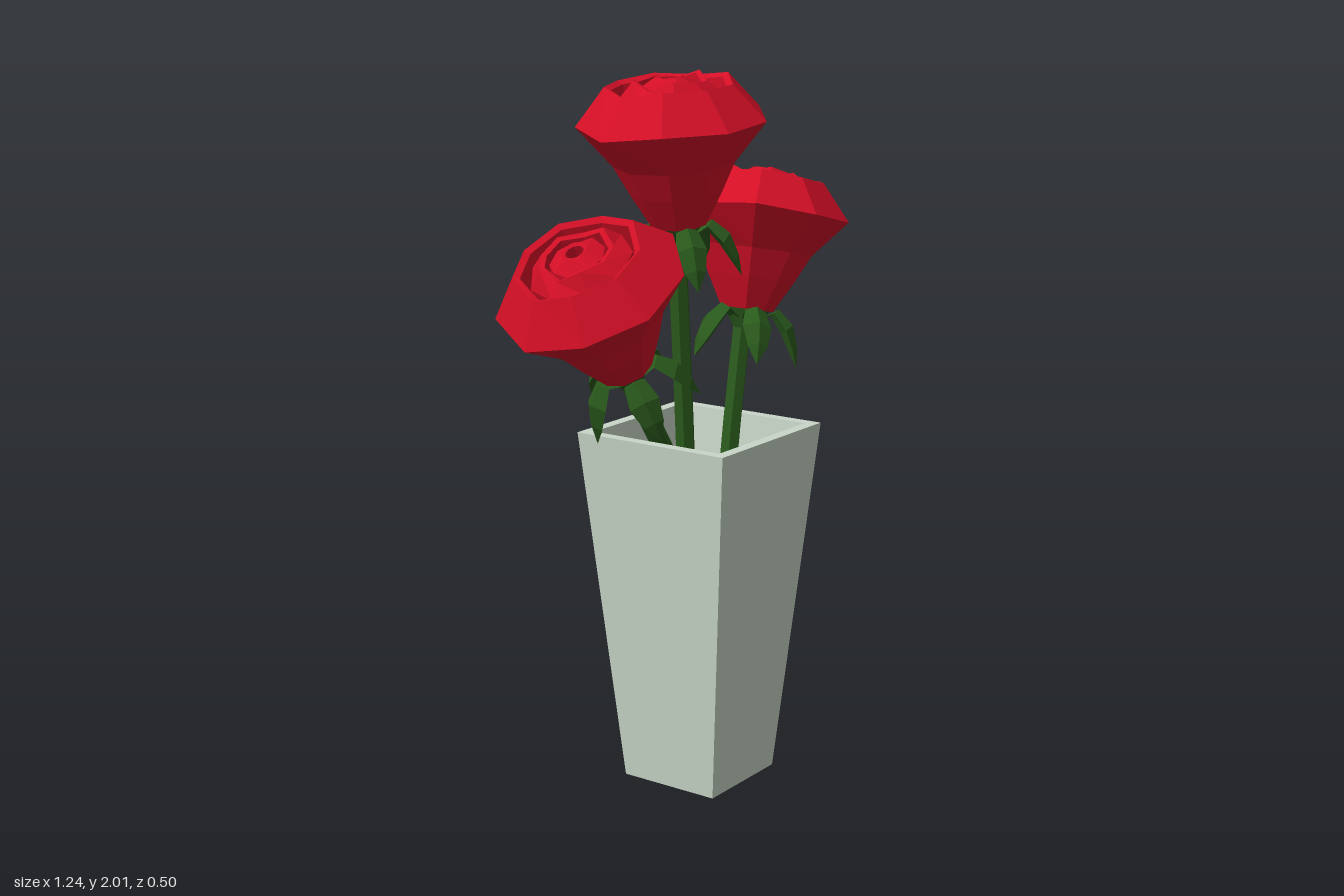
import * as THREE from 'three';

const SIDES = 9;
const mat = (color) => new THREE.MeshStandardMaterial({ color, flatShading: true, side: THREE.DoubleSide });
const red = mat(0xd40f26), green = mat(0x2a5a1c), glaze = mat(0xc8d6c8);

function add(parent, name, geometry, material) {
  const mesh = new THREE.Mesh(geometry, material);
  mesh.name = name;
  parent.add(mesh);
  return mesh;
}

function lathe(profile, sides, start) {
  return new THREE.LatheGeometry(profile.map(([r, y]) => new THREE.Vector2(r, y)), sides, start);
}

// Nine-sided petal shell; rows from firstRow up to lastRow are lifted unevenly
function petalShell(profile, firstRow, lastRow, lift, start) {
  const g = lathe(profile, SIDES, start);
  const p = g.attributes.position;
  for (let i = 0; i < p.count; i++) {
    const row = i % profile.length, side = Math.floor(i / profile.length) % SIDES;
    if (row >= firstRow && row <= lastRow) p.setY(i, p.getY(i) + lift * Math.sin(side * 2.4));
  }
  return g;
}

// Folded leaf that arches outward along +x and droops to a point
function sepalGeometry() {
  const sections = [[0.03, -0.03, 0.02], [0.09, 0.01, 0.03], [0.135, -0.03, 0.042], [0.155, -0.09, 0.028], [0.16, -0.15, 0]];
  const pos = [], index = [];
  sections.forEach(([x, y, w]) => {
    pos.push(x - w * 0.4, y - w * 0.4, w, x, y, 0, x - w * 0.4, y - w * 0.4, -w, x - w * 0.7, y - w * 0.7, 0);
  });
  for (let s = 0; s < sections.length - 1; s++) {
    for (let k = 0; k < 4; k++) {
      const a = s * 4 + k, b = s * 4 + (k + 1) % 4;
      index.push(a, a + 4, b, b, a + 4, b + 4);
    }
  }
  const g = new THREE.BufferGeometry();
  g.setAttribute('position', new THREE.Float32BufferAttribute(pos, 3));
  g.setIndex(index);
  g.computeVertexNormals();
  return g;
}

// Flower head with its base at the local origin, opening along +y
function makeBloom(name) {
  const bloom = new THREE.Group();
  bloom.name = name;
  add(bloom, 'outerPetals', petalShell([
    [0, 0], [0.075, 0], [0.125, 0.09], [0.165, 0.17], [0.257, 0.28], [0.172, 0.38], [0.155, 0.37], [0.145, 0.3],
  ], 4, 6, 0.008, Math.PI), red);
  add(bloom, 'middlePetals', petalShell([
    [0.15, 0.29], [0.14, 0.35], [0.1, 0.39], [0.085, 0.385], [0.08, 0.34],
  ], 2, 3, 0.012, Math.PI + 0.2), red);
  add(bloom, 'innerPetals', petalShell([
    [0.09, 0.33], [0.075, 0.375], [0.035, 0.4], [0.025, 0.395], [0.022, 0.36], [0, 0.36],
  ], 1, 1, 0.006, Math.PI + 0.5), red);

  const calyx = add(bloom, 'calyx', new THREE.CylinderGeometry(0.07, 0.032, 0.06, 7), green);
  calyx.position.y = -0.025;
  const leaf = sepalGeometry();
  for (let i = 0; i < 5; i++) {
    const sepal = add(bloom, 'sepal', leaf, green);
    sepal.rotation.y = i * Math.PI * 2 / 5 + 0.25;
  }
  return bloom;
}

export function createModel() {
  const model = new THREE.Group();
  model.name = 'roseVase';

  // Square tapered vase, hollow, with a thick wall
  const R = Math.SQRT2;
  const vase = add(model, 'vase', lathe([
    [0, 0], [0.152 * R, 0], [0.243 * R, 1.02], [0.21 * R, 1.02], [0.13 * R, 0.06], [0, 0.06],
  ], 4, Math.PI / 4), glaze);
  vase.position.x = 0.08;

  // Each rose: bloom base, lean from vertical (positive toward -x), stem points
  const roses = [
    { name: 'centreRose', x: -0.02, y: 1.6, lean: 0.115, stem: [[0.02, 1.02], [0.07, 0.07]] },
    { name: 'leftwardRose', x: -0.262, y: 1.25, lean: 0.56, stem: [[-0.1, 1.02], [0.03, 0.8], [0.1, 0.07]] },
    { name: 'rightwardRose', x: 0.31, y: 1.32, lean: -0.225, stem: [[0.255, 1.02], [0.12, 0.07]] },
  ];
  for (const { name, x, y, lean, stem } of roses) {
    const rose = new THREE.Group();
    rose.name = name;
    const bloom = makeBloom('bloom');
    bloom.position.set(x, y, 0);
    bloom.rotation.z = lean;
    rose.add(bloom);
    const path = new THREE.CatmullRomCurve3([[x, y], ...stem].map(([px, py]) => new THREE.Vector3(px, py, -0.01)));
    add(rose, 'stem', new THREE.TubeGeometry(path, 8, 0.028, 6), green);
    model.add(rose);
  }
  return model;
}
